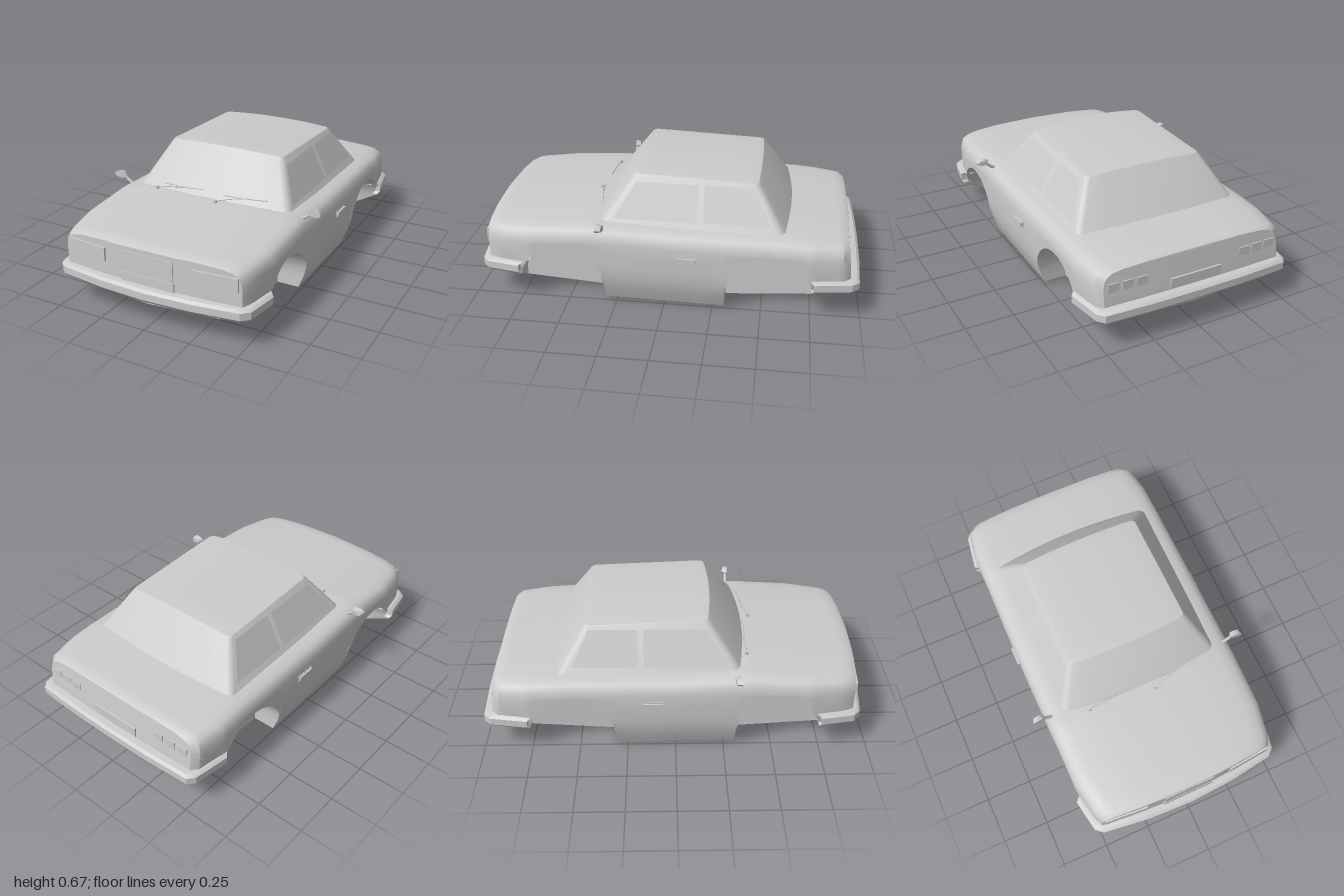
import * as THREE from 'three';
import { toCreasedNormals } from 'three/addons/utils/BufferGeometryUtils.js';

const material = new THREE.MeshStandardMaterial({ color: 0xcccccc, side: THREE.DoubleSide });
const { clamp, lerp, smoothstep } = THREE.MathUtils;

// Piecewise-linear lookup in [key, value] pairs with rising keys
function lookup(table, v) {
  for (let i = 1; i < table.length; i++) {
    const [a, p] = table[i - 1], [b, q] = table[i];
    if (v <= b) return lerp(p, q, clamp((v - a) / (b - a), 0, 1));
  }
  return table[table.length - 1][1];
}

function add(parent, name, geometry, position = [0, 0, 0], rotation = [0, 0, 0]) {
  const mesh = new THREE.Mesh(geometry, material);
  mesh.name = name;
  mesh.position.set(...position);
  mesh.rotation.set(...rotation);
  parent.add(mesh);
  return mesh;
}

// Skin joining rows of [x, y, z] points
function skin(rows, closed, crease = 0.6) {
  const n = rows[0].length, index = [];
  for (let i = 0; i < rows.length - 1; i++) {
    for (let j = 0; j < (closed ? n : n - 1); j++) {
      const a = i * n + j, b = i * n + (j + 1) % n;
      index.push(a, a + n, b, b, a + n, b + n);
    }
  }
  const g = new THREE.BufferGeometry();
  g.setAttribute('position', new THREE.Float32BufferAttribute(rows.flat(2), 3));
  g.setIndex(index);
  return toCreasedNormals(g, crease);
}

// Lower body: plan width, deck height, floor height and sill width along z
const WIDTH = [[-0.93, 0.485], [-0.9, 0.515], [-0.75, 0.54], [0, 0.545], [0.7, 0.54], [0.9, 0.51], [0.95, 0.485]];
const DECK = [[-0.93, 0.395], [-0.9, 0.407], [-0.63, 0.425], [0, 0.43], [0.38, 0.445], [0.92, 0.412], [0.95, 0.4]];
const FLOOR = [[-0.93, 0.13], [-0.76, 0.045], [-0.31, 0.012], [0.31, 0.02], [0.77, 0.05], [0.95, 0.13]];
const SILL = [[-0.77, 0.376], [-0.31, 0.495], [0.31, 0.495], [0.77, 0.376]];
const AXLE = 0.54, ARCH = 0.23, WELL = 0.375;

function bodySection(z, squeeze) {
  const hw = lookup(WIDTH, z), d = lookup(DECK, z), yb = lookup(FLOOR, z), sill = lookup(SILL, z);
  const dz = Math.abs(z) - AXLE;
  const arch = Math.abs(dz) < ARCH + 1e-6
    ? Math.max(yb, 0.08 + Math.sqrt(Math.max(0, ARCH * ARCH - dz * dz))) : yb;
  const sideX = y => lerp(sill, hw, Math.sin(clamp((y - yb) / (0.2 - yb), 0, 1) * Math.PI / 2));
  const half = [[0, yb - 0.012], [WELL, yb], [WELL, arch]];
  for (let t = 0; t <= 5; t++) {
    const y = lerp(arch, d - 0.09, t / 5);
    half.push([sideX(y), y]);
  }
  half.push([hw - 0.01, d - 0.05], [hw - 0.025, d - 0.033], [hw - 0.05, d - 0.02],
    [hw - 0.1, d - 0.011], [0.25, d - 0.003], [0, d]);
  const loop = [...half, ...half.slice(1, -1).reverse().map(([x, y]) => [-x, y])];
  return loop.map(([px, y]) => {
    const x = px * squeeze;
    // bowed nose and tail
    const nose = smoothstep(z, 0.6, 0.93), tail = smoothstep(-z, 0.75, 0.93);
    const bulge = 0.025 * clamp((0.41 - y) / 0.2, 0, 1);
    return [x, y, z - 0.13 * x * x * nose + (0.05 * x * x - bulge) * tail];
  });
}

function bodyGeometry() {
  const zs = [0.95, 0.94, 0.92, 0.88, 0.82, 0.7702];
  const arc = [];
  for (let i = 0; i <= 24; i++) arc.push(ARCH * Math.cos(i / 24 * Math.PI));
  zs.push(...arc.map(c => AXLE + c), 0.3098, 0.2, 0.1, 0, -0.1, -0.2, -0.3098);
  zs.push(...arc.map(c => c - AXLE), -0.7702, -0.82, -0.87, -0.9, -0.92, -0.93);
  const caps = [0, 0.33, 0.67];
  return skin([
    ...caps.map(s => bodySection(0.95, s)),
    ...zs.map(z => bodySection(z, 1)),
    ...caps.reverse().map(s => bodySection(-0.93, s)),
  ], true);
}

// Cabin: rounded rectangular rings from roof centre to beltline
function cabinRing({ hw, zf, zr, r, bowF, bowR, s = 1, y, slope = 0, crown = 0 }) {
  const pts = [];
  const corner = (cx, cz, start) => {
    for (let k = 0; k <= 4; k++) {
      const a = start + k * Math.PI / 8;
      pts.push([cx + r * Math.cos(a), cz - r * Math.sin(a)]);
    }
  };
  const across = (z, dir) => {
    for (let k = 1; k < 8; k++) pts.push([dir * lerp(-1, 1, k / 8) * (hw - r), z]);
  };
  corner(hw - r, zr + r, 0);
  across(zr, -1);
  corner(-hw + r, zr + r, Math.PI / 2);
  corner(-hw + r, zf - r, Math.PI);
  across(zf, 1);
  corner(hw - r, zf - r, Math.PI * 1.5);
  const mid = (zf + zr) / 2;
  return pts.map(([x, z]) => {
    const t = (z - mid) / (zf - mid);
    const bow = (1 - (x / hw) ** 2) * (t > 0 ? bowF * t : bowR * t);
    const px = x * s, pz = mid + (z + bow - mid) * s;
    return [px, y + slope * pz + crown * (1 - (px / 0.34) ** 2), pz];
  });
}

function cabinGeometry() {
  const roof = { hw: 0.332, zf: 0.172, zr: -0.465, r: 0.025, bowF: 0.02, bowR: 0.008, slope: 0.04, crown: 0.014 };
  const belt = { hw: 0.447, zf: 0.335, zr: -0.595, r: 0.03, bowF: 0.05, bowR: 0.04 };
  return skin([
    ...[0, 0.25, 0.5, 0.75, 0.92].map(s => cabinRing({ ...roof, s, y: 0.65 })),
    cabinRing({ ...roof, s: 0.98, y: 0.648 }),
    cabinRing({ ...roof, y: 0.641 }),
    cabinRing({ ...belt, y: 0.42 }),
    cabinRing({ ...belt, s: 1.03, y: 0.4 }),
  ], true, 0.5);
}

// Bumper wrapped round one end, with the valance sloping under it to the floor
function bumperGeometry(half, dir) {
  let path = [...half.slice(1).reverse().map(([x, z]) => [-x, z]), ...half];
  if (dir < 0) path.reverse();
  const profile = [[0.05, 0.218], [0.014, 0.214], [0, 0.202], [0, 0.165], [0.012, 0.15]];
  const rows = profile.map(([inset, y]) => path.map(([x, z]) => [x * (1 - inset * 1.8), y, dir * (z - inset)]));
  rows.push(path.map(([x]) => [x * WELL / 0.56, 0.047, dir * 0.769]));
  return skin(rows, false, 0.5);
}

// Flat four-cornered pane
function pane(corners) {
  const [a, b, c, d] = corners;
  return skin([[a, b], [d, c]], false);
}

function rod(points, radius) {
  const curve = new THREE.CatmullRomCurve3(points.map(p => new THREE.Vector3(...p)));
  return new THREE.TubeGeometry(curve, 8, radius, 6, false);
}

export function createModel() {
  const car = new THREE.Group();
  car.name = 'carBody';
  add(car, 'lowerBody', bodyGeometry());
  add(car, 'cabin', cabinGeometry());
  add(car, 'frontBumper', bumperGeometry(
    [[0, 1], [0.25, 0.987], [0.49, 0.955], [0.53, 0.92], [0.56, 0.75], [0.53, 0.75]], 1));
  add(car, 'rearBumper', bumperGeometry(
    [[0, 1], [0.25, 0.997], [0.5, 0.985], [0.53, 0.95], [0.56, 0.76], [0.53, 0.76]], -1));

  // Grille and plates
  add(car, 'grille', new THREE.BoxGeometry(0.28, 0.108, 0.012), [0, 0.32, 0.947]);
  add(car, 'frontPlate', new THREE.BoxGeometry(0.29, 0.05, 0.014), [0, 0.24, 0.949]);
  add(car, 'rearPlate', new THREE.BoxGeometry(0.28, 0.05, 0.014), [0, 0.25, -0.949]);

  for (const s of [1, -1]) {
    const side = s > 0 ? 'left' : 'right';
    add(car, side + 'Headlight', new THREE.BoxGeometry(0.23, 0.07, 0.02), [s * 0.355, 0.325, 0.932], [0, s * 0.09, 0]);
    for (const x of [0.285, 0.36, 0.435]) {
      add(car, side + 'TailLamp', new THREE.BoxGeometry(0.058, 0.045, 0.016), [s * x, 0.305, -0.938 + 0.05 * x * x]);
    }
    // Side glass
    const glass = (z0, z1, z2, z3) => {
      const low = [s * 0.436, 0.447], high = [s * 0.348, 0.618];
      const quad = [[...low, z0], [...low, z1], [...high, z2], [...high, z3]];
      return pane(s > 0 ? quad : quad.reverse());
    };
    add(car, side + 'FrontWindow', glass(0.27, -0.16, -0.16, 0.16));
    add(car, side + 'RearWindow', glass(-0.19, -0.53, -0.44, -0.19));
    // Door handle
    add(car, side + 'DoorHandle', new THREE.BoxGeometry(0.016, 0.022, 0.1), [s * 0.549, 0.29, -0.115]);
    add(car, side + 'HandlePlate', new THREE.BoxGeometry(0.008, 0.036, 0.11), [s * 0.544, 0.288, -0.115]);
    // Mirror
    const mirror = new THREE.Group();
    mirror.name = side + 'Mirror';
    add(mirror, 'mirrorArm', rod([[s * 0.49, 0.405, 0.315], [s * 0.525, 0.425, 0.315], [s * 0.555, 0.45, 0.315]], 0.009));
    const head = new THREE.CylinderGeometry(0.036, 0.026, 0.028, 12);
    head.rotateX(Math.PI / 2);
    head.scale(1, 0.56, 1);
    add(mirror, 'mirrorHead', toCreasedNormals(head, 0.6), [s * 0.575, 0.456, 0.312], [0, s * -0.1, 0]);
    car.add(mirror);
  }

  // Wipers: pivot, arm and blade
  const wipers = [
    { pivot: [-0.31, 0.447, 0.37], tip: [-0.15, 0.474, 0.367], blade: [[-0.265, 0.472, 0.353], [-0.15, 0.477, 0.366], [-0.03, 0.484, 0.366]] },
    { pivot: [0.06, 0.452, 0.405], tip: [0.2, 0.478, 0.368], blade: [[0.095, 0.48, 0.375], [0.21, 0.481, 0.366], [0.33, 0.479, 0.338]] },
  ];
  for (const { pivot, tip, blade } of wipers) {
    const mid = pivot.map((v, i) => (v + tip[i]) / 2 + (i === 1 ? 0.004 : 0));
    add(car, 'wiperPivot', new THREE.CylinderGeometry(0.009, 0.011, 0.016, 8), pivot);
    add(car, 'wiperArm', rod([pivot, mid, tip], 0.003));
    add(car, 'wiperBlade', rod(blade, 0.003));
  }
  return car;
}
